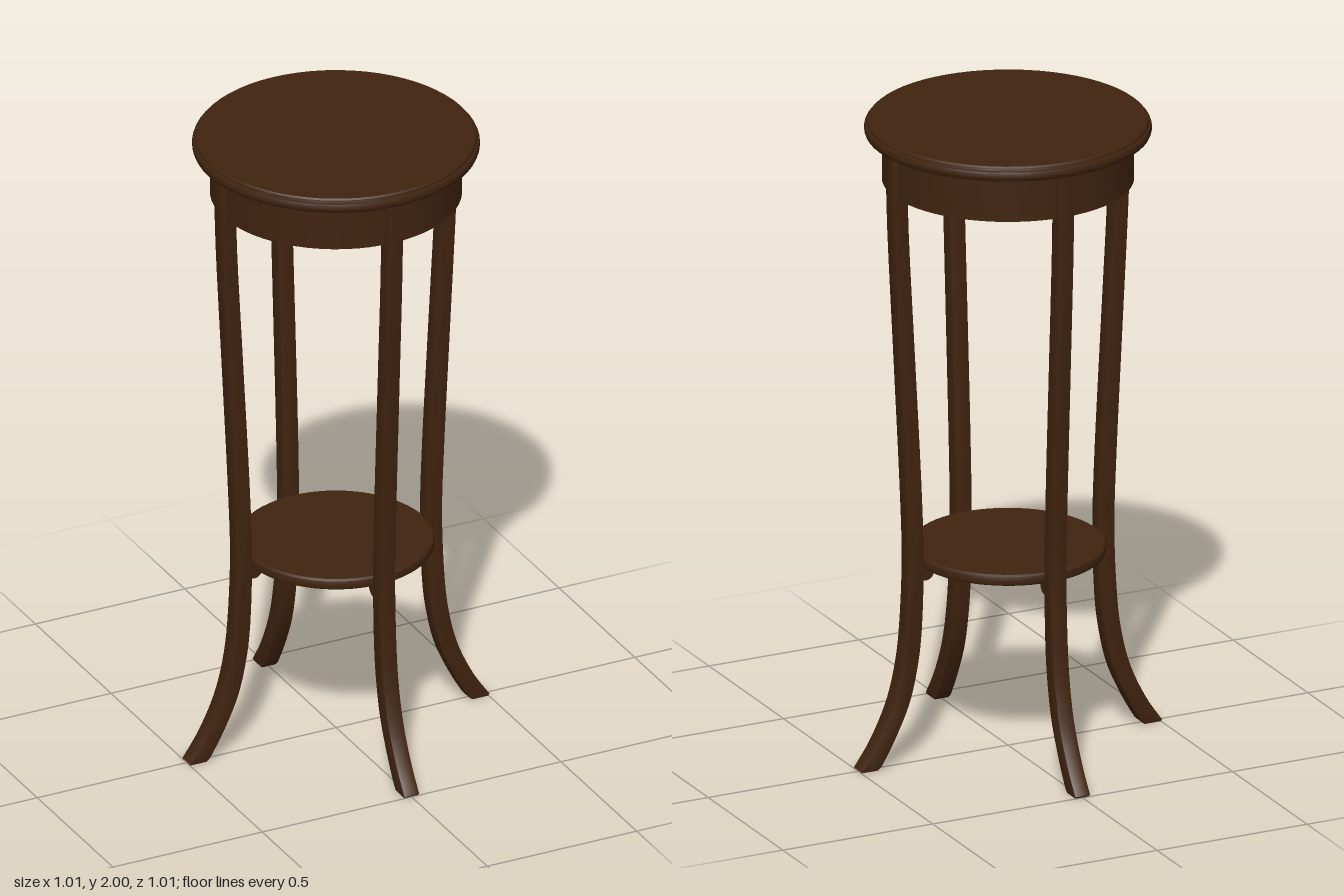
import * as THREE from 'three';
import { toCreasedNormals } from 'three/addons/utils/BufferGeometryUtils.js';

const wood = new THREE.MeshStandardMaterial({ color: 0x40230f });
wood.name = 'dark wood';

function part(name, geometry, crease = 0.6) {
  const mesh = new THREE.Mesh(toCreasedNormals(geometry, crease), wood);
  mesh.name = name;
  return mesh;
}

// Round part turned from [radius, height] pairs, listed bottom to top
function turned(name, profile) {
  const points = profile.map(([r, y]) => new THREE.Vector2(r, y));
  return part(name, new THREE.LatheGeometry(points, 64));
}

// Side outline of a leg: outer edge going up, inner edge coming down
function legGeometry() {
  const curve = (pts) =>
    new THREE.SplineCurve(pts.map(([x, y]) => new THREE.Vector2(x, y))).getPoints(36);
  const outer = curve([
    [0.503, 0.006], [0.45, 0.085], [0.4, 0.19], [0.37, 0.3], [0.353, 0.43],
    [0.344, 0.65], [0.352, 0.9], [0.372, 1.3], [0.392, 1.7], [0.398, 1.956],
  ]);
  const inner = curve([
    [0.347, 1.956], [0.342, 1.7], [0.321, 1.3], [0.3, 0.9], [0.292, 0.65],
    [0.298, 0.43], [0.314, 0.3], [0.342, 0.19], [0.39, 0.085], [0.432, 0.012],
  ]);
  const outline = new THREE.Shape([...outer, ...inner, new THREE.Vector2(0.445, 0)]);
  outline.lineTo(0.497, 0);
  const bevel = 0.005;
  const geometry = new THREE.ExtrudeGeometry(outline, {
    depth: 0.052 - 2 * bevel,
    bevelEnabled: true,
    bevelThickness: bevel,
    bevelSize: bevel,
    bevelOffset: -bevel,
    bevelSegments: 2,
  });
  return geometry.translate(0, 0, -0.026 + bevel);
}

export function createModel() {
  const model = new THREE.Group();
  model.name = 'plantStand';

  // Round top with a moulded edge
  model.add(turned('tabletop', [
    [0, 1.955], [0.42, 1.955], [0.427, 1.96], [0.43, 1.968], [0.43, 1.978],
    [0.427, 1.986], [0.421, 1.988], [0.419, 1.996], [0.414, 2], [0, 2],
  ]));

  // Drum-shaped apron under the top
  model.add(turned('apron', [[0, 1.81], [0.377, 1.81], [0.377, 1.957], [0, 1.957]]));

  // Lower shelf with a rounded rim
  model.add(turned('shelf', [
    [0, 0.615], [0.285, 0.615], [0.292, 0.62], [0.295, 0.632],
    [0.292, 0.645], [0.285, 0.65], [0, 0.65],
  ]));

  // Four splayed legs, each with a rounded block carrying the shelf
  const leg = legGeometry();
  const block = new THREE.CylinderGeometry(0.026, 0.026, 0.04, 20)
    .rotateX(Math.PI / 2)
    .translate(0.283, 0.605, 0);
  for (let i = 0; i < 4; i++) {
    const support = new THREE.Group();
    support.name = 'legAssembly' + (i + 1);
    support.add(part('leg', leg), part('shelfBlock', block));
    support.rotation.y = (i * Math.PI) / 2;
    model.add(support);
  }

  return model;
}
